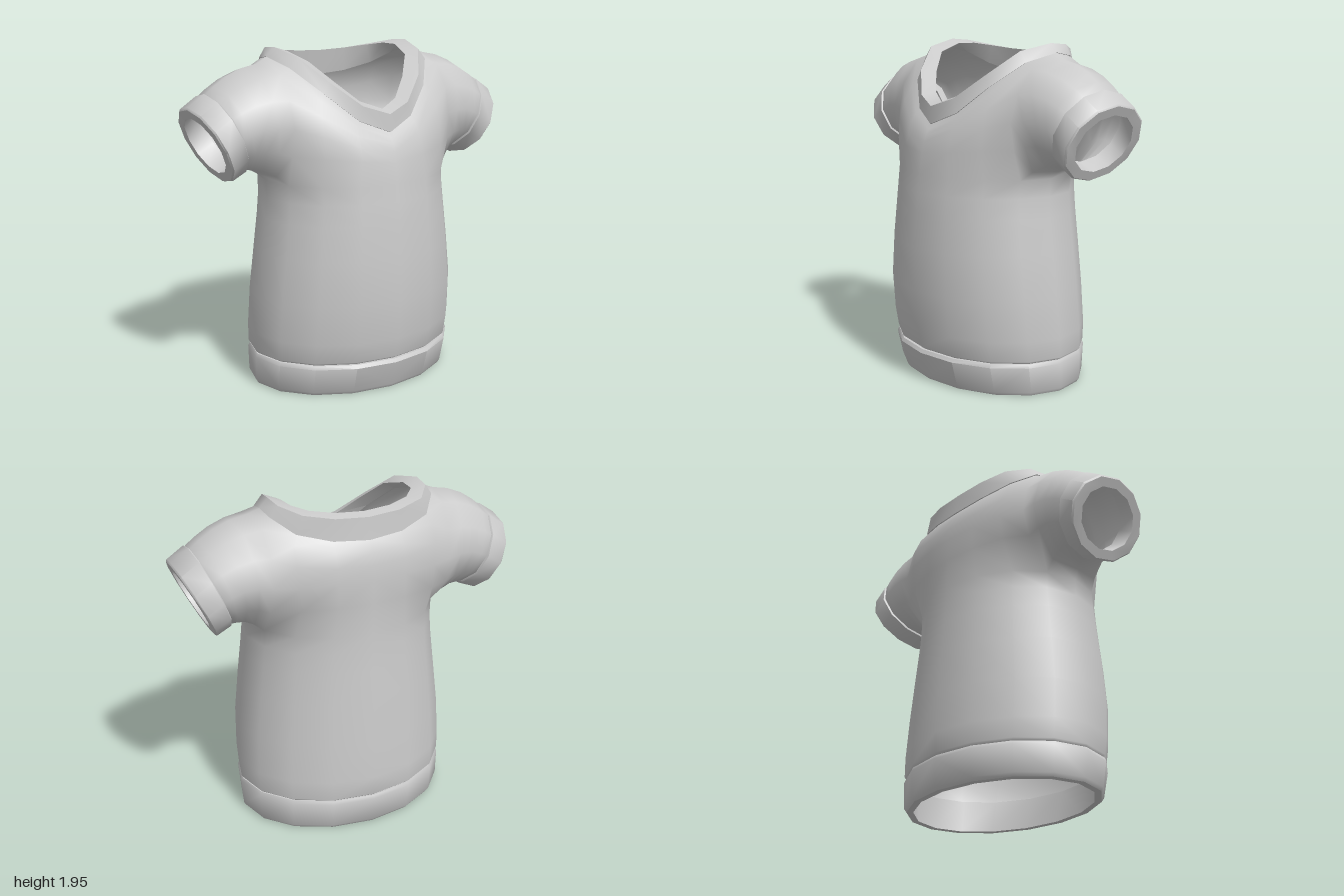
import * as THREE from 'three';
import { mergeVertices, toCreasedNormals } from 'three/addons/utils/BufferGeometryUtils.js';

const material = new THREE.MeshStandardMaterial({ color: 0xcccccc, side: THREE.DoubleSide });

const lerp = (a, b, t) => a.map((v, i) => v + (b[i] - v) * t);

// Flat list of numbers -> points
function points(list) {
  const out = [];
  for (let i = 0; i < list.length; i += 3) out.push(list.slice(i, i + 3));
  return out;
}

// Triangles between successive rings; skip(r, c) leaves holes
function loft(rings, skip = () => false) {
  const tris = [];
  for (let r = 0; r < rings.length - 1; r++) {
    for (let c = 0; c < rings[r].length - 1; c++) {
      if (skip(r, c)) continue;
      const a = rings[r][c], b = rings[r][c + 1], d = rings[r + 1][c + 1], e = rings[r + 1][c];
      tris.push(a, b, d, a, d, e);
    }
  }
  return tris;
}

// Mirror across x = 0, reversing the order so faces stay outward
const mirror = (tris) => tris.map(([x, y, z]) => [-x, y, z]).reverse();

function makeMesh(name, tris, creased) {
  let g = new THREE.BufferGeometry();
  g.setAttribute('position', new THREE.Float32BufferAttribute(tris.flat(), 3));
  if (creased) g = toCreasedNormals(g, 0.75);
  else {
    g = mergeVertices(g, 1e-4);
    g.computeVertexNormals();
  }
  const mesh = new THREE.Mesh(g, material);
  mesh.name = name;
  return mesh;
}

// Left half of a horizontal oval, from front centre round to back centre
function halfOval([y, w, front, back]) {
  const mid = (front + back) / 2, depth = (front - back) / 2;
  return Array.from({ length: 9 }, (_, i) => {
    const a = (i / 8) * Math.PI;
    return [w * Math.sin(a), y, mid + depth * Math.cos(a)];
  });
}

// Tilted twelve-sided sleeve ring: top, front, bottom, back
function sleeveRing([cx, cy, hx, hy, hz], s = 1) {
  return Array.from({ length: 13 }, (_, i) => {
    const a = ((i % 12) / 6) * Math.PI;
    return [cx + s * hx * Math.cos(a), cy + s * hy * Math.cos(a), -0.065 + s * hz * Math.sin(a)];
  });
}

const cuffStart = [0.795, 1.503, 0.09, 0.222, 0.27];
const cuffEnd = [0.9, 1.44, 0.1, 0.21, 0.268];

// Neckline, front centre to back centre
const neck = points([
  0, 1.5, 0.4, 0.17, 1.57, 0.35, 0.33, 1.72, 0.25, 0.45, 1.85, 0.1, 0.49, 1.9, -0.09,
  0.475, 1.88, -0.2, 0.38, 1.81, -0.32, 0.2, 1.765, -0.385, 0, 1.75, -0.405]);

function bodyTriangles() {
  // Waist and chest: height, half width, front, back
  const lower = [
    [0.19, 0.625, 0.465, -0.5], [0.205, 0.641, 0.485, -0.517], [0.32, 0.645, 0.508, -0.518],
    [0.55, 0.635, 0.53, -0.505], [0.8, 0.605, 0.525, -0.49], [1.0, 0.58, 0.51, -0.475],
    [1.12, 0.568, 0.5, -0.47], [1.22, 0.57, 0.485, -0.465],
  ].map(halfOval);
  // Panels in front of and behind the armhole
  const panels = [
    [0, 1.34, 0.468, 0.2, 1.36, 0.44, 0.39, 1.38, 0.36, 0.53, 1.39, 0.245,
      0.54, 1.39, -0.32, 0.4, 1.4, -0.4, 0.2, 1.4, -0.45, 0, 1.4, -0.466],
    [0, 1.4, 0.455, 0.2, 1.43, 0.42, 0.39, 1.5, 0.35, 0.52, 1.54, 0.26,
      0.53, 1.54, -0.36, 0.4, 1.54, -0.415, 0.2, 1.54, -0.452, 0, 1.54, -0.465],
    [0, 1.44, 0.44, 0.2, 1.49, 0.4, 0.38, 1.6, 0.32, 0.53, 1.69, 0.22,
      0.53, 1.7, -0.33, 0.41, 1.66, -0.4, 0.2, 1.63, -0.445, 0, 1.62, -0.455],
  ].map((list) => {
    const p = points(list);
    p.splice(4, 0, [0, 0, 0]); // unused spot inside the armhole
    return p;
  });
  // Shoulder row just outside the neckline
  const shoulder = points([
    0, 1.47, 0.422, 0.19, 1.54, 0.375, 0.36, 1.68, 0.28, 0.53, 1.82, 0.12, 0.57, 1.867, -0.07,
    0.54, 1.83, -0.23, 0.41, 1.76, -0.355, 0.2, 1.705, -0.425, 0, 1.69, -0.44]);
  const rows = [...lower, ...panels, shoulder, neck];
  const u = lower.length - 1; // underarm row
  const torso = loft(rows, (r, c) => r >= u && r < u + 4 && (c === 3 || c === 4));

  // Sleeve grows from the armhole edge and tucks under the cuff
  const edge = [[4, 4], [4, 3], [3, 3], [2, 3], [1, 3], [0, 3], [0, 4], [0, 5],
    [1, 5], [2, 5], [3, 5], [4, 5], [4, 4]].map(([r, c]) => rows[u + r][c]);
  const end = sleeveRing(cuffStart);
  const sleeve = [0, 0.3, 0.6, 0.85].map((t) => edge.map((p, i) => {
    const q = lerp(p, end[i], t);
    q[1] += 0.03 * Math.sin(Math.PI * t);
    return q;
  }));
  sleeve.push(sleeveRing(cuffStart, 0.99), sleeveRing(lerp(cuffStart, cuffEnd, 0.08), 0.95));
  return [...torso, ...loft(sleeve)];
}

function hemTriangles() {
  return loft([
    [0, 0.625, 0.437, -0.492], [0.02, 0.638, 0.452, -0.507], [0.17, 0.645, 0.494, -0.52],
    [0.19, 0.635, 0.482, -0.51], [0.19, 0.6, 0.445, -0.475], [0, 0.585, 0.4, -0.455],
    [0, 0.625, 0.437, -0.492],
  ].map(halfOval));
}

function cuffTriangles() {
  return loft([[0, 0.97], [0.07, 1.02], [0.93, 1.015], [1, 0.98], [1, 0.75], [0, 0.8], [0, 0.97]]
    .map(([t, s]) => sleeveRing(lerp(cuffStart, cuffEnd, t), s)));
}

function collarTriangles() {
  const base = neck.map(([x, y, z]) => [x * 1.02, y, -0.05 + (z + 0.05) * 1.02]);
  const outerTop = points([
    0, 1.6, 0.405, 0.15, 1.65, 0.36, 0.3, 1.78, 0.255, 0.41, 1.91, 0.1, 0.45, 1.95, -0.09,
    0.44, 1.94, -0.21, 0.35, 1.91, -0.33, 0.19, 1.885, -0.385, 0, 1.875, -0.4]);
  const innerTop = points([
    0, 1.62, 0.33, 0.12, 1.665, 0.28, 0.23, 1.77, 0.195, 0.33, 1.88, 0.08, 0.37, 1.925, -0.08,
    0.36, 1.925, -0.19, 0.29, 1.91, -0.27, 0.16, 1.895, -0.32, 0, 1.888, -0.335]);
  const innerBase = neck.map(([x, y, z]) => [x * 0.88, y - 0.01, -0.05 + (z + 0.05) * 0.88]);
  return loft([base, outerTop, innerTop, innerBase, base]);
}

export function createModel() {
  const model = new THREE.Group();
  model.name = 'shirt';
  const whole = (half) => [...half, ...mirror(half)];
  const cuff = cuffTriangles();
  model.add(
    makeMesh('bodyAndSleeves', whole(bodyTriangles()), false),
    makeMesh('hem', whole(hemTriangles()), true),
    makeMesh('collar', whole(collarTriangles()), true),
    makeMesh('leftCuff', cuff, true),
    makeMesh('rightCuff', mirror(cuff), true),
  );
  return model;
}
